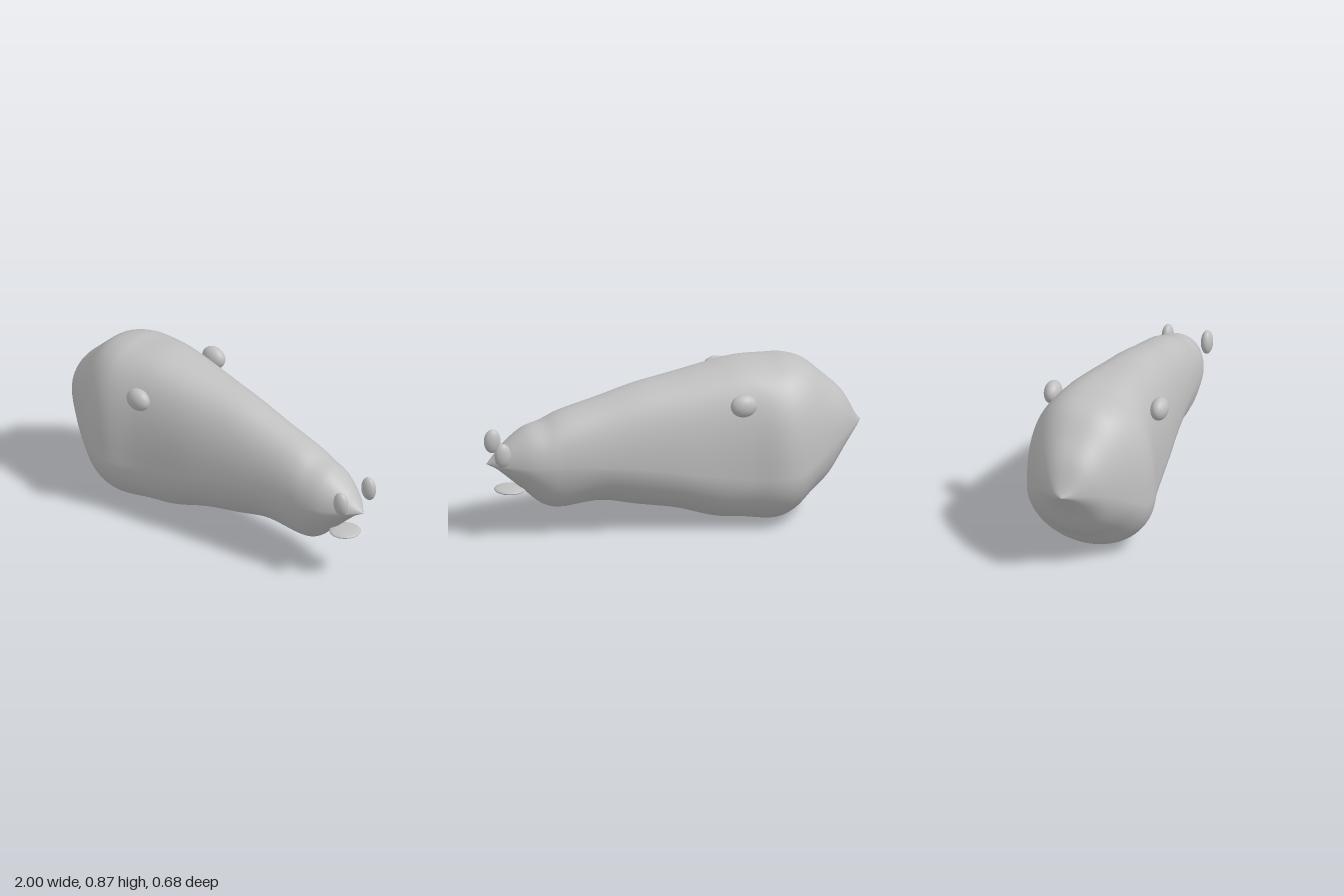
import * as THREE from 'three';
import { mergeVertices } from 'three/addons/utils/BufferGeometryUtils.js';

// Body stations from tail to nose: x, top, bottom, half width, height of widest point
const STATIONS = [
  [-1, 0.48, 0.48, 0, 0.48],
  [-0.97, 0.52, 0.45, 0.055, 0.48],
  [-0.9, 0.65, 0.36, 0.14, 0.47],
  [-0.8, 0.75, 0.21, 0.22, 0.43],
  [-0.7, 0.835, 0.13, 0.285, 0.37],
  [-0.6, 0.867, 0.04, 0.33, 0.32],
  [-0.5, 0.87, 0.004, 0.337, 0.31],
  [-0.35, 0.875, 0.02, 0.3, 0.31],
  [-0.2, 0.855, 0.035, 0.275, 0.33],
  [0, 0.82, 0.095, 0.25, 0.36],
  [0.2, 0.785, 0.13, 0.22, 0.39],
  [0.4, 0.73, 0.168, 0.193, 0.41],
  [0.6, 0.675, 0.15, 0.173, 0.42],
  [0.7, 0.63, 0.175, 0.163, 0.42],
  [0.8, 0.598, 0.26, 0.14, 0.42],
  [0.9, 0.525, 0.35, 0.09, 0.42],
  [0.95, 0.47, 0.392, 0.052, 0.42],
  [1, 0.42, 0.42, 0, 0.42],
];

const spline = (pick) => new THREE.CatmullRomCurve3(
  STATIONS.map((s) => new THREE.Vector3(...pick(s))), false, 'catmullrom', 0.5);

// Rounded power used by the superellipse cross-sections
const power = (v, n) => Math.sign(v) * Math.pow(Math.abs(v), 2 / n);

function bodyGeometry(rows = 136, sides = 72) {
  const outline = spline((s) => [s[0], s[1], s[2]]);
  const girth = spline((s) => [s[3], s[4], 0]);
  const positions = [];
  const index = [];
  for (let i = 0; i <= rows; i++) {
    const { x, y: top, z: bottom } = outline.getPoint(i / rows);
    const { x: width, y: middle } = girth.getPoint(i / rows);
    // Full shoulders at the back, a narrower keel under the head
    const upper = 2.15 + 0.5 * Math.exp(-(((x + 0.35) / 0.4) ** 2));
    const lower = THREE.MathUtils.lerp(1.98, 1.68, THREE.MathUtils.smoothstep(x, -0.4, 0.5));
    for (let j = 0; j < sides; j++) {
      const a = (j / sides) * Math.PI * 2;
      const c = Math.cos(a);
      const n = c >= 0 ? upper : lower;
      const h = c >= 0 ? top - middle : middle - bottom;
      positions.push(x, middle + h * power(c, n), width * power(Math.sin(a), n));
      if (i < rows) {
        const p = i * sides + j;
        const q = i * sides + ((j + 1) % sides);
        index.push(p, q, p + sides, q, q + sides, p + sides);
      }
    }
  }
  const geometry = new THREE.BufferGeometry();
  geometry.setAttribute('position', new THREE.Float32BufferAttribute(positions, 3));
  geometry.setIndex(index);
  const merged = mergeVertices(geometry, 1e-5);
  merged.computeVertexNormals();
  return merged;
}

export function createModel() {
  const group = new THREE.Group();
  const grey = new THREE.MeshStandardMaterial({ color: 0xc0c0c0 });
  grey.name = 'grey';

  const body = new THREE.Mesh(bodyGeometry(), grey);
  body.name = 'body';
  group.add(body);

  const ball = new THREE.SphereGeometry(1, 40, 28);
  const ellipsoid = (name, position, radii) => {
    const mesh = new THREE.Mesh(ball, grey);
    mesh.name = name;
    mesh.position.set(...position);
    mesh.scale.set(...radii);
    group.add(mesh);
  };

  // Paired ears and eyes
  for (const [side, label] of [[1, 'front'], [-1, 'back']]) {
    ellipsoid(`${label}Ear`, [-0.303, 0.725, side * 0.293], [0.07, 0.06, 0.045]);
    ellipsoid(`${label}Eye`, [0.94, 0.5, side * 0.108], [0.044, 0.065, 0.03]);
  }
  // Flat mouth under the nose
  ellipsoid('mouth', [0.873, 0.27, 0], [0.082, 0.016, 0.082]);

  return group;
}
